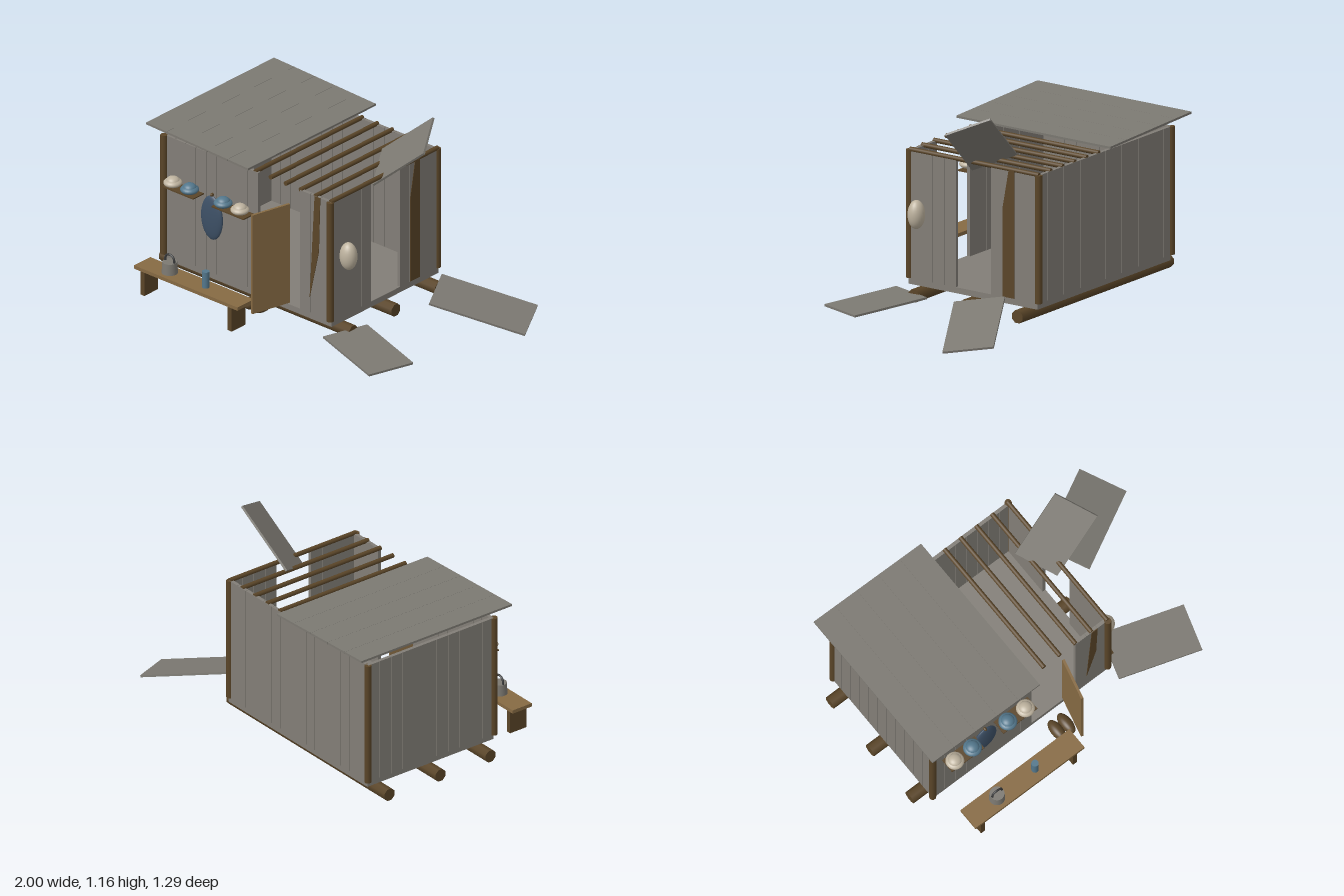
import * as THREE from 'three';

const mat = (name, color) => {
  const m = new THREE.MeshStandardMaterial({ color });
  m.name = name;
  return m;
};

export function createModel() {
  const root = new THREE.Group();
  root.name = 'shack';
  const plank = mat('weathered plank', 0x827e77);
  const sheetGrey = mat('roof sheet grey', 0x7c7972);
  const bark = mat('dark timber', 0x5a4528);
  const tan = mat('tan board', 0x866a43);
  const cream = mat('cream', 0xbdb29e);
  const blue = mat('blue enamel', 0x53778c);
  const navy = mat('dark blue', 0x3d5066);
  const iron = mat('dark iron', 0x3a3b3c);

  const add = (name, geo, m, x = 0, y = 0, z = 0, parent = root) => {
    const mesh = new THREE.Mesh(geo, m);
    mesh.name = name;
    mesh.position.set(x, y, z);
    parent.add(mesh);
    return mesh;
  };
  // Box given by its min and max corners
  const box = (name, m, x0, x1, y0, y1, z0, z1, parent) =>
    add(name, new THREE.BoxGeometry(x1 - x0, y1 - y0, z1 - z0), m,
      (x0 + x1) / 2, (y0 + y1) / 2, (z0 + z1) / 2, parent);
  const ellipsoid = (name, m, x, y, z, rx, ry, rz) =>
    add(name, new THREE.SphereGeometry(1, 24, 16).scale(rx, ry, rz), m, x, y, z);
  // Round pole along an axis
  const pole = (name, r, len, axis, x, y, z, sides = 10) => {
    const g = new THREE.CylinderGeometry(r, r, len, sides).rotateY(Math.PI / sides);
    if (axis === 'x') g.rotateZ(Math.PI / 2);
    if (axis === 'z') g.rotateX(Math.PI / 2);
    return add(name, g, bark, x, y, z);
  };
  // Flat board spanned by corner p and edges to a and b
  const sheet = (name, m, p, a, b, t) => {
    const P = new THREE.Vector3(...p);
    const u = new THREE.Vector3(...a).sub(P), v = new THREE.Vector3(...b).sub(P);
    const g = new THREE.BoxGeometry(u.length(), t, v.length());
    const centre = P.clone().addScaledVector(u, 0.5).addScaledVector(v, 0.5);
    const X = u.clone().normalize();
    const Y = v.clone().cross(u).normalize();
    const Z = X.clone().cross(Y);
    g.applyMatrix4(new THREE.Matrix4().makeBasis(X, Y, Z));
    return add(name, g, m, centre.x, centre.y, centre.z);
  };

  // Base logs and floor
  for (const z of [-0.43, -0.085, 0.255])
    pole('baseLog', 0.037, 1.36, 'x', -0.32, 0.066, z, 8);
  box('floor', plank, -0.91, 0.285, 0.102, 0.135, -0.51, 0.345);

  // Plank walls; skipped indices leave openings
  const wall = (name, along, start, end, count, fixed, skip = []) => {
    const group = new THREE.Group();
    group.name = name;
    root.add(group);
    const step = (end - start) / count;
    for (let i = 0; i < count; i++) {
      if (skip.includes(i)) continue;
      const a = start + i * step + 0.001, b = a + step - 0.002;
      if (along === 'x') box('wallPlank', plank, a, b, 0.135, 0.845, fixed - 0.01, fixed + 0.01, group);
      else box('wallPlank', plank, fixed - 0.01, fixed + 0.01, 0.135, 0.845, a, b, group);
    }
  };
  wall('frontWall', 'x', -0.91, 0.28, 16, 0.335, [9, 10, 11, 12]);
  wall('backWall', 'x', -0.91, 0.28, 16, -0.505);
  wall('rightWall', 'z', -0.51, 0.34, 11, -0.91);
  wall('leftWall', 'z', -0.51, 0.34, 11, 0.275, [4, 5, 6]);

  // Darker repair boards let into the walls
  const patch = (pts) => new THREE.ExtrudeGeometry(
    new THREE.Shape(pts.map(([x, y]) => new THREE.Vector2(x, y))), { depth: 0.004, bevelEnabled: false });
  add('frontRepairBoard', patch([[0.13, 0.23], [0.195, 0.52], [0.205, 0.845], [0.165, 0.845]]), bark, 0, 0, 0.344);
  add('sideRepairBoard', patch([[0.28, 0.137], [0.357, 0.137], [0.357, 0.845], [0.32, 0.845], [0.28, 0.63]])
    .rotateY(Math.PI / 2), bark, 0.284, 0, 0);

  // Corner posts and rafters
  for (const x of [-0.915, 0.275])
    for (const z of [-0.51, 0.345]) pole('cornerPost', 0.02, 0.71, 'y', x, 0.49, z);
  for (let i = 0; i < 6; i++)
    pole('rafter', 0.013, 0.855, 'z', -0.263 + i * 0.1075, 0.846, -0.085);

  // Remaining roof in five boards, tilted slightly
  const roofY = (x) => 0.92 - (x + 0.975) * 0.038;
  for (let i = 0; i < 5; i++) {
    const a = -0.975 + i * 0.146, b = a + 0.145;
    sheet('roofBoard', sheetGrey, [a, roofY(a), -0.6], [b, roofY(b), -0.6], [a, roofY(a), 0.42], 0.012);
  }

  // Loose roof sheets
  sheet('leaningSheet', sheetGrey, [0.115, 0.88, -0.25], [0.43, 1.155, -0.305], [0.24, 0.79, -0.04], 0.012);
  sheet('fallenSheetBack', sheetGrey, [0.415, 0.18, -0.39], [0.87, 0.05, -0.65], [0.54, 0.14, -0.145], 0.012);
  sheet('fallenSheetFront', sheetGrey, [0.375, 0.072, 0.16], [0.83, 0.052, 0.3], [0.29, 0.072, 0.42], 0.012);

  // Open door
  sheet('door', tan, [-0.022, 0.145, 0.34], [-0.08, 0.145, 0.575], [-0.022, 0.735, 0.34], 0.014);

  // Bench
  box('benchSeat', tan, -0.86, -0.12, 0.175, 0.195, 0.515, 0.645);
  for (const x of [-0.805, -0.18])
    box('benchLeg', bark, x - 0.014, x + 0.014, 0.033, 0.175, 0.53, 0.64);

  // Kettle and mug on the bench
  add('kettle', new THREE.CylinderGeometry(0.04, 0.044, 0.065, 24), sheetGrey, -0.663, 0.228, 0.58);
  add('kettleHandle', new THREE.TorusGeometry(0.032, 0.006, 8, 20, Math.PI), iron, -0.663, 0.27, 0.58);
  for (const s of [-1, 1])
    add('handleStem', new THREE.CylinderGeometry(0.006, 0.006, 0.02, 8), iron, -0.663 + s * 0.032, 0.262, 0.58);
  add('mug', new THREE.CylinderGeometry(0.02, 0.02, 0.095, 20), blue, -0.405, 0.243, 0.58);

  // Boots by the doorway
  for (const x of [-0.165, -0.102]) ellipsoid('boot', bark, x, 0.145, 0.465, 0.034, 0.036, 0.068);

  // Shelves with bowls on saucers
  for (const [a, b] of [[-0.85, -0.63], [-0.5, -0.27]])
    box('shelf', bark, a, b, 0.584, 0.591, 0.34, 0.43);
  for (const [x, m] of [[-0.805, cream], [-0.685, blue], [-0.445, blue], [-0.325, cream]]) {
    ellipsoid('saucer', m, x, 0.616, 0.397, 0.051, 0.024, 0.051);
    ellipsoid('bowl', m, x, 0.626, 0.397, 0.038, 0.026, 0.038);
  }

  // Hanging basin on the front, with its peg, and a round bundle on the side
  ellipsoid('hangingBasin', navy, -0.565, 0.47, 0.352, 0.076, 0.13, 0.022);
  ellipsoid('basinPeg', bark, -0.565, 0.607, 0.352, 0.009, 0.01, 0.014);
  ellipsoid('sideBundle', cream, 0.33, 0.51, 0.26, 0.05, 0.08, 0.046);

  return root;
}
